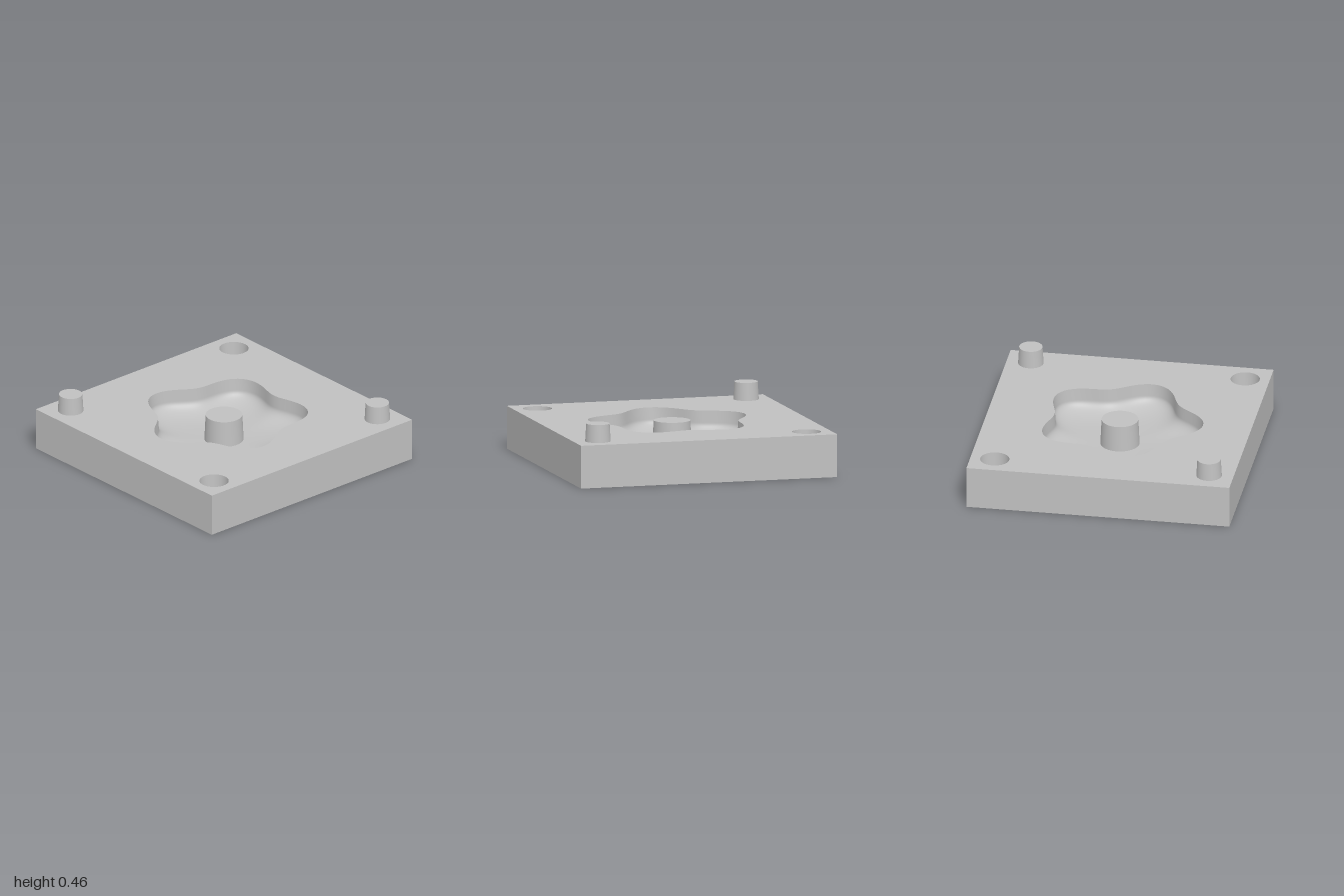
import * as THREE from 'three';
import { toCreasedNormals } from 'three/addons/utils/BufferGeometryUtils.js';

const TOP = 0.325, WALL_END = 0.235, FLOOR = 0.125;
const PIN = 0.815, SOCKET_R = 0.11, SEGMENTS = 120;

// Rounded five-lobed outline, one lobe pointing to +z
function outline(j, scale = 1) {
  const a = (j / SEGMENTS) * Math.PI * 2;
  const r = scale * (0.565 + 0.067 * Math.cos(5 * a));
  return [r * Math.sin(a), r * Math.cos(a)];
}

// Cavity surface: steep wall, then a rounded bowl flattening to the floor
function cavityGeometry() {
  const rings = [[1, TOP], [0.985, WALL_END]];
  const steps = 24;
  for (let i = 1; i <= steps; i++) {
    const t = Math.cos((i / steps) * 1.47);
    rings.push([0.985 * t, WALL_END - (WALL_END - FLOOR) * Math.sqrt(1 - t ** 4)]);
  }
  const positions = [], index = [];
  rings.forEach(([scale, y], i) => {
    for (let j = 0; j < SEGMENTS; j++) {
      const [x, z] = outline(j, scale);
      positions.push(x, y, z);
      if (i === 0) continue;
      const k = (j + 1) % SEGMENTS;
      const a = (i - 1) * SEGMENTS + j, b = (i - 1) * SEGMENTS + k;
      const c = i * SEGMENTS + j, d = i * SEGMENTS + k;
      index.push(a, b, c, b, d, c);
    }
  });
  const geometry = new THREE.BufferGeometry();
  geometry.setAttribute('position', new THREE.Float32BufferAttribute(positions, 3));
  geometry.setIndex(index);
  geometry.computeVertexNormals();
  return geometry;
}

// Top face pierced by the cavity and the two sockets
function topFaceGeometry() {
  const shape = new THREE.Shape([[-1, -1], [1, -1], [1, 1], [-1, 1]].map(([x, y]) => new THREE.Vector2(x, y)));
  const rim = [];
  for (let j = 0; j < SEGMENTS; j++) {
    const [x, z] = outline(j);
    rim.push(new THREE.Vector2(x, -z));
  }
  shape.holes.push(new THREE.Path(rim));
  for (const s of [-1, 1]) {
    const circle = [];
    for (let j = 0; j < 48; j++) {
      const a = (j / 48) * Math.PI * 2;
      circle.push(new THREE.Vector2(s * PIN + SOCKET_R * Math.sin(a), -s * PIN - SOCKET_R * Math.cos(a)));
    }
    shape.holes.push(new THREE.Path(circle));
  }
  return new THREE.ShapeGeometry(shape).rotateX(-Math.PI / 2).translate(0, TOP, 0);
}

// Box sides and underside, with the +y face left out
function blockGeometry() {
  const box = new THREE.BoxGeometry(2, TOP, 2).translate(0, TOP / 2, 0);
  box.setIndex([...box.index.array].filter((_, i) => i < 12 || i >= 18));
  box.clearGroups();
  return box;
}

export function createModel() {
  const model = new THREE.Group();
  model.name = 'mouldHalf';
  const grey = new THREE.MeshStandardMaterial({ color: 0xc0c0c0 });
  grey.name = 'plain grey';

  function add(name, geometry, x = 0, z = 0) {
    const mesh = new THREE.Mesh(geometry, grey);
    mesh.name = name;
    mesh.position.set(x, 0, z);
    model.add(mesh);
  }
  function turned(profile) {
    const points = profile.map(([r, y]) => new THREE.Vector2(r, y));
    return toCreasedNormals(new THREE.LatheGeometry(points, 48), 0.6);
  }

  add('block', blockGeometry());
  add('topFace', topFaceGeometry());
  add('cavity', cavityGeometry());

  // Tapered core standing in the cavity, level with the top face
  add('corePost', turned([[0.148, FLOOR - 0.01], [0.138, TOP], [0, TOP]]));

  // Locating pegs and matching sockets on opposite diagonals
  for (const s of [-1, 1]) {
    add('peg', turned([[0.096, TOP], [0.088, 0.46], [0, 0.46]]), s * PIN, -s * PIN);
    add('socket', turned([[SOCKET_R, TOP], [0.102, 0.18], [0, 0.18]]), s * PIN, s * PIN);
  }
  return model;
}
